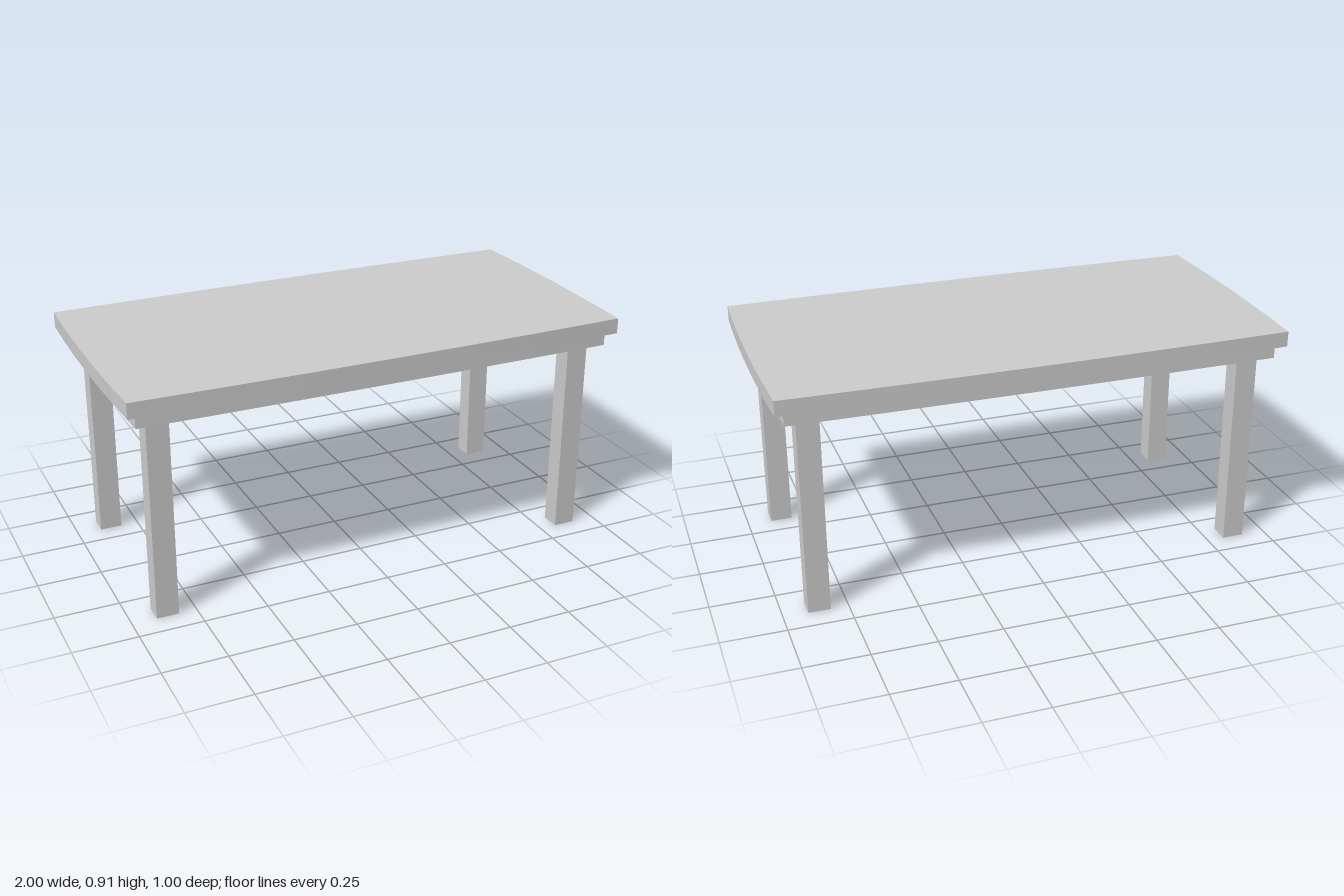
import * as THREE from 'three';

// Flat slab whose four edges bow gently outwards between the corners
function bowedSlab(cornerX, cornerZ, bow, bottom, top) {
  const corners = [[-cornerX, -cornerZ], [cornerX, -cornerZ], [cornerX, cornerZ], [-cornerX, cornerZ]];
  const outward = [[0, -1], [1, 0], [0, 1], [-1, 0]];
  const steps = 6;
  const points = [];
  corners.forEach(([x0, z0], i) => {
    const [x1, z1] = corners[(i + 1) % 4];
    for (let s = 0; s < steps; s++) {
      const t = s / steps;
      const push = bow * 4 * t * (1 - t);
      points.push(new THREE.Vector2(
        x0 + (x1 - x0) * t + outward[i][0] * push,
        z0 + (z1 - z0) * t + outward[i][1] * push));
    }
  });
  const geometry = new THREE.ExtrudeGeometry(new THREE.Shape(points), { depth: top - bottom, bevelEnabled: false });
  return geometry.rotateX(-Math.PI / 2).translate(0, bottom, 0);
}

export function createModel() {
  const table = new THREE.Group();
  table.name = 'table';
  const grey = new THREE.MeshStandardMaterial({ color: 0xcccccc });
  grey.name = 'light grey';

  const add = (name, geometry) => {
    const mesh = new THREE.Mesh(geometry, grey);
    mesh.name = name;
    table.add(mesh);
    return mesh;
  };

  // Table top and the recessed apron beneath it
  const apronBottom = 0.797, apronTop = 0.851, tableHeight = 0.912;
  add('tableTop', bowedSlab(0.988, 0.488, 0.012, apronTop, tableHeight));
  add('apron', bowedSlab(0.953, 0.457, 0.007, apronBottom, apronTop));

  // Four straight square legs
  const legGeometry = new THREE.BoxGeometry(0.086, apronBottom, 0.078);
  for (const [side, sx] of [['Left', 1], ['Right', -1]]) {
    for (const [end, sz] of [['front', 1], ['back', -1]]) {
      add(`${end}${side}Leg`, legGeometry).position.set(sx * 0.862, apronBottom / 2, sz * 0.372);
    }
  }
  return table;
}
